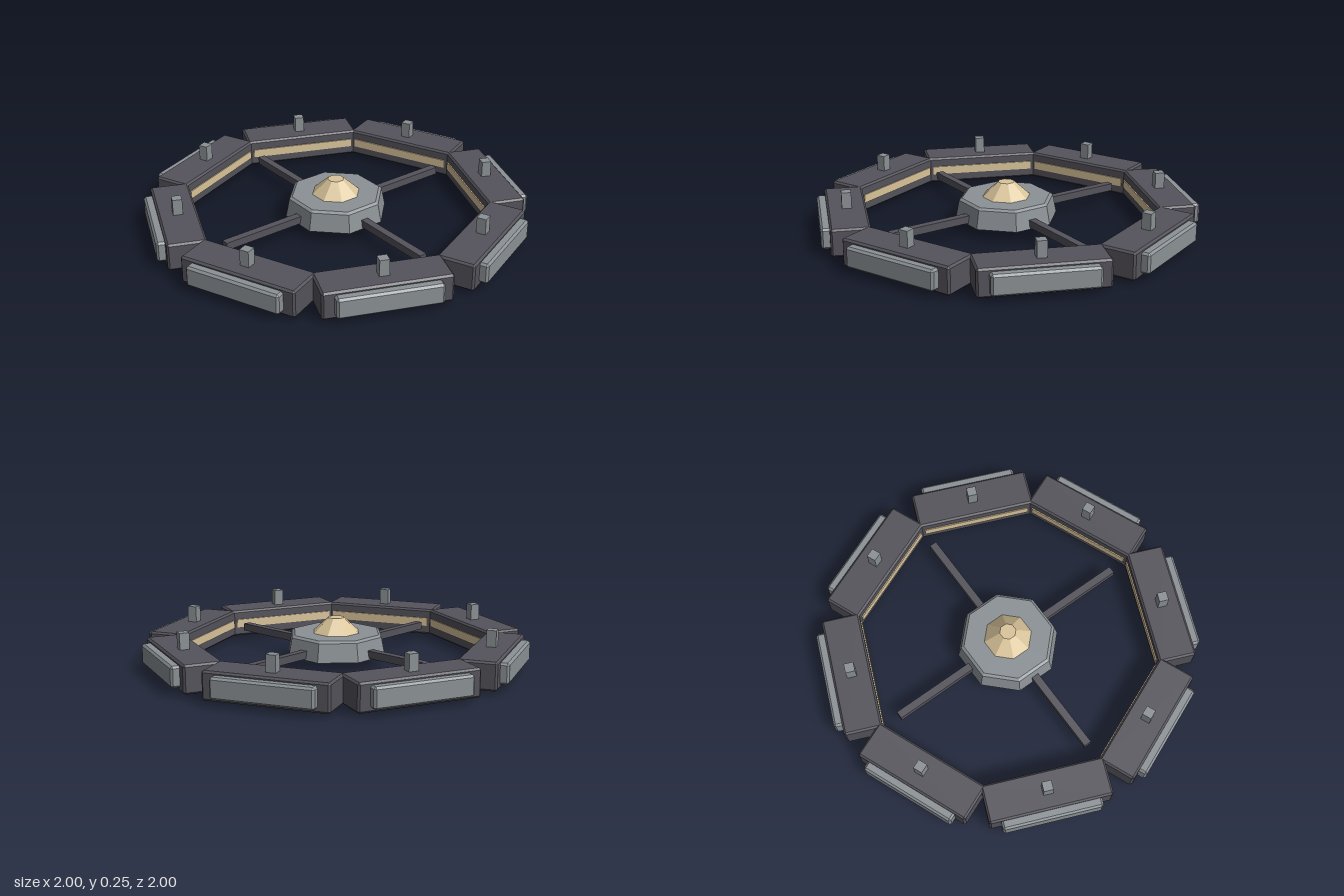
import * as THREE from 'three';
import { ConvexGeometry } from 'three/addons/geometries/ConvexGeometry.js';

const material = (name, color) => {
  const m = new THREE.MeshStandardMaterial({ color });
  m.name = name;
  return m;
};

// Box with flat chamfers on every edge
function chamferBox(w, h, d, c) {
  const points = [];
  for (const sx of [-1, 1]) for (const sy of [-1, 1]) for (const sz of [-1, 1]) {
    for (let axis = 0; axis < 3; axis++) {
      const half = [w / 2, h / 2, d / 2].map((v, i) => (i === axis ? v : v - c));
      points.push(new THREE.Vector3(sx * half[0], sy * half[1], sz * half[2]));
    }
  }
  return new ConvexGeometry(points);
}

// Faceted eight-sided turning with flats facing the axes; profile is [apothem, y], bottom up
function octagonTurning(profile) {
  const k = 1 / Math.cos(Math.PI / 8);
  const pts = profile.map(([a, y]) => new THREE.Vector2(a * k, y));
  const g = new THREE.LatheGeometry(pts, 8, Math.PI / 8).toNonIndexed();
  g.computeVertexNormals();
  return g;
}

function addMesh(parent, name, geometry, mat, x = 0, y = 0, z = 0) {
  const mesh = new THREE.Mesh(geometry, mat);
  mesh.name = name;
  mesh.position.set(x, y, z);
  parent.add(mesh);
  return mesh;
}

export function createModel() {
  const model = new THREE.Group();
  model.name = 'ringStation';
  const dark = material('dark hull', 0x55535b);
  const grey = material('grey plating', 0x8b9195);
  const gold = material('pale gold', 0xdac59b);

  // Ring of eight modules, each with a plate, an inner strip and a peg
  const moduleGeo = chamferBox(0.64, 0.145, 0.2, 0.01);
  const plateGeo = chamferBox(0.52, 0.108, 0.08, 0.011);
  const stripGeo = new THREE.BoxGeometry(0.58, 0.045, 0.012);
  const pegGeo = new THREE.BoxGeometry(0.05, 0.095, 0.05);
  for (let i = 0; i < 8; i++) {
    const segment = new THREE.Group();
    segment.name = 'ringSegment' + (i + 1);
    segment.rotation.y = (i + 0.5) * Math.PI / 4;
    addMesh(segment, 'ringModule', moduleGeo, dark, 0, 0.0875, 0.835);
    addMesh(segment, 'outerPlate', plateGeo, grey, 0, 0.09, 0.939);
    addMesh(segment, 'innerStrip', stripGeo, gold, 0, 0.0875, 0.735);
    addMesh(segment, 'peg', pegGeo, grey, 0, 0.1975, 0.835);
    model.add(segment);
  }

  // Spokes
  const spokeGeo = new THREE.BoxGeometry(0.04, 0.04, 0.535);
  for (let i = 0; i < 4; i++) {
    const arm = new THREE.Group();
    arm.name = 'spokeArm' + (i + 1);
    arm.rotation.y = i * Math.PI / 2;
    addMesh(arm, 'spoke', spokeGeo, dark, 0, 0.0875, 0.4275);
    model.add(arm);
  }

  // Hub with a faceted dome above and a smaller one below
  addMesh(model, 'hub', octagonTurning([[0, 0.06], [0.25, 0.06], [0.232, 0.157], [0.218, 0.168], [0, 0.168]]), grey);
  addMesh(model, 'upperDome', octagonTurning([[0.12, 0.165], [0.04, 0.245], [0, 0.245]]), gold);
  addMesh(model, 'lowerDome', octagonTurning([[0, 0], [0.028, 0], [0.1, 0.062]]), gold);

  return model;
}
